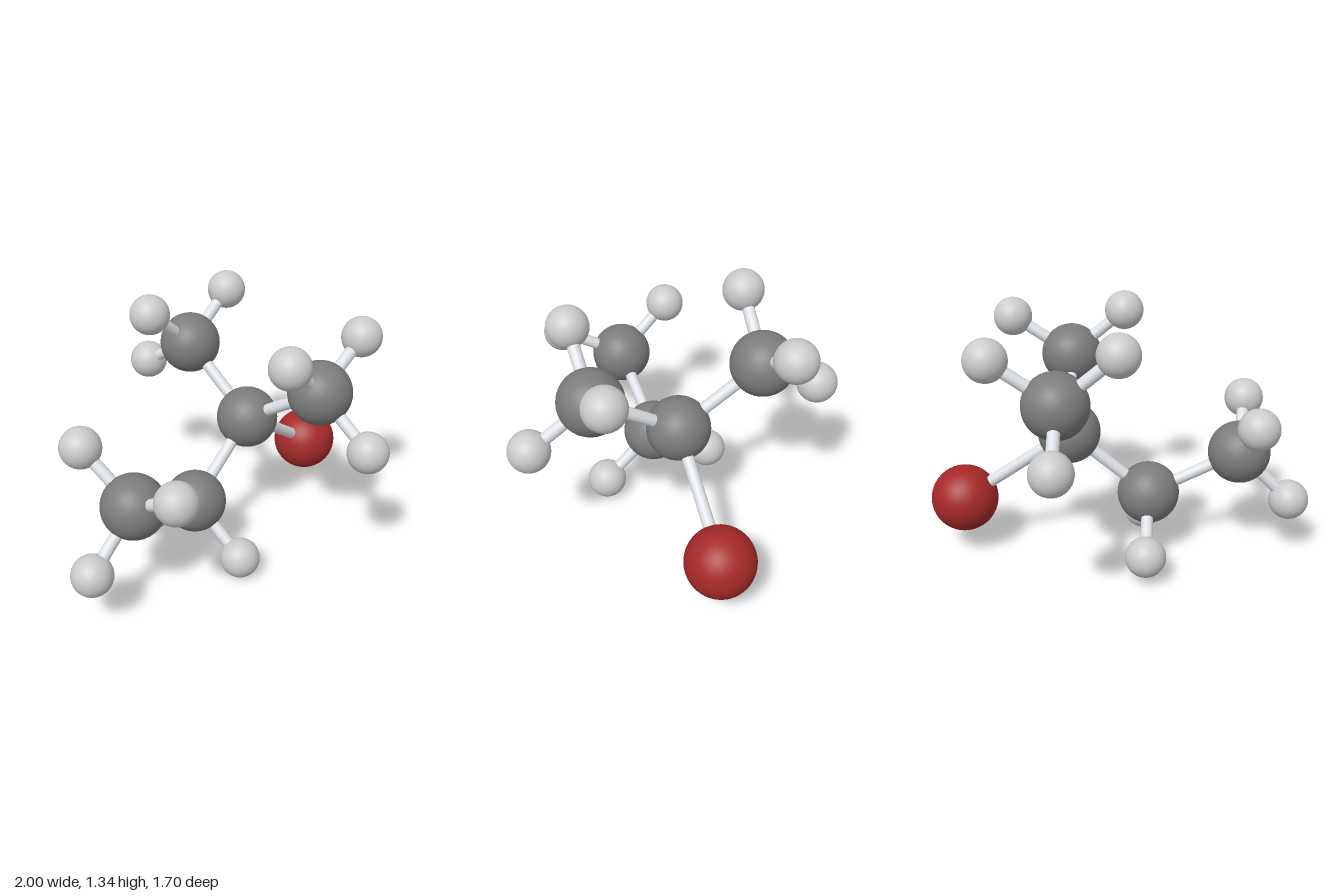
import * as THREE from 'three';

const material = (color) => new THREE.MeshStandardMaterial({ color });

// Atom kinds: sphere radius and colour
const kinds = {
  carbon: { radius: 0.162, mat: material(0x7c7c7c) },
  hydrogen: { radius: 0.104, mat: material(0xcccccc) },
  bromine: { radius: 0.176, mat: material(0xa62929) },
};
const bondMaterial = material(0xdde1e5);
const BOND_RADIUS = 0.031;

// Each atom: name, kind, centre, and the atom it is bonded to
const atoms = [
  ['centralCarbon', 'carbon', [0.255, 0.695, -0.005], null],
  ['bromine', 'bromine', [0.82, 0.31, 0], 'centralCarbon'],

  // Ethyl chain
  ['chainCarbon', 'carbon', [-0.157, 0.36, -0.025], 'centralCarbon'],
  ['chainHydrogenFront', 'hydrogen', [-0.135, 0.112, 0.26], 'chainCarbon'],
  ['chainHydrogenBack', 'hydrogen', [-0.14, 0.152, -0.343], 'chainCarbon'],
  ['endCarbon', 'carbon', [-0.628, 0.585, -0.003], 'chainCarbon'],
  ['endHydrogenOuter', 'hydrogen', [-0.898, 0.323, -0.03], 'endCarbon'],
  ['endHydrogenFront', 'hydrogen', [-0.68, 0.768, 0.32], 'endCarbon'],
  ['endHydrogenBack', 'hydrogen', [-0.68, 0.827, -0.288], 'endCarbon'],

  // Back methyl
  ['backCarbon', 'carbon', [0.286, 1.0, -0.428], 'centralCarbon'],
  ['backHydrogenOuter', 'hydrogen', [0.286, 0.805, -0.747], 'backCarbon'],
  ['backHydrogenRight', 'hydrogen', [-0.006, 1.248, -0.445], 'backCarbon'],
  ['backHydrogenLeft', 'hydrogen', [0.598, 1.216, -0.425], 'backCarbon'],

  // Front methyl
  ['frontCarbon', 'carbon', [0.262, 0.98, 0.437], 'centralCarbon'],
  ['frontHydrogenOuter', 'hydrogen', [0.243, 0.76, 0.743], 'frontCarbon'],
  ['frontHydrogenRight', 'hydrogen', [-0.026, 1.221, 0.45], 'frontCarbon'],
  ['frontHydrogenLeft', 'hydrogen', [0.58, 1.18, 0.465], 'frontCarbon'],
];

// Cylinder running between two atom centres
function makeBond(a, b) {
  const dir = b.clone().sub(a);
  const bond = new THREE.Mesh(
    new THREE.CylinderGeometry(BOND_RADIUS, BOND_RADIUS, dir.length(), 24), bondMaterial);
  bond.position.copy(a).add(b).multiplyScalar(0.5);
  bond.quaternion.setFromUnitVectors(new THREE.Vector3(0, 1, 0), dir.normalize());
  return bond;
}

export function createModel() {
  const model = new THREE.Group();
  model.name = 'molecule';
  const centres = {};

  for (const [name, kind, position, partner] of atoms) {
    const { radius, mat } = kinds[kind];
    const atom = new THREE.Mesh(new THREE.SphereGeometry(radius, 48, 32), mat);
    atom.name = name;
    atom.position.set(...position);
    centres[name] = atom.position;
    model.add(atom);

    if (partner) {
      const bond = makeBond(centres[partner], atom.position);
      bond.name = `${name}Bond`;
      model.add(bond);
    }
  }
  return model;
}
